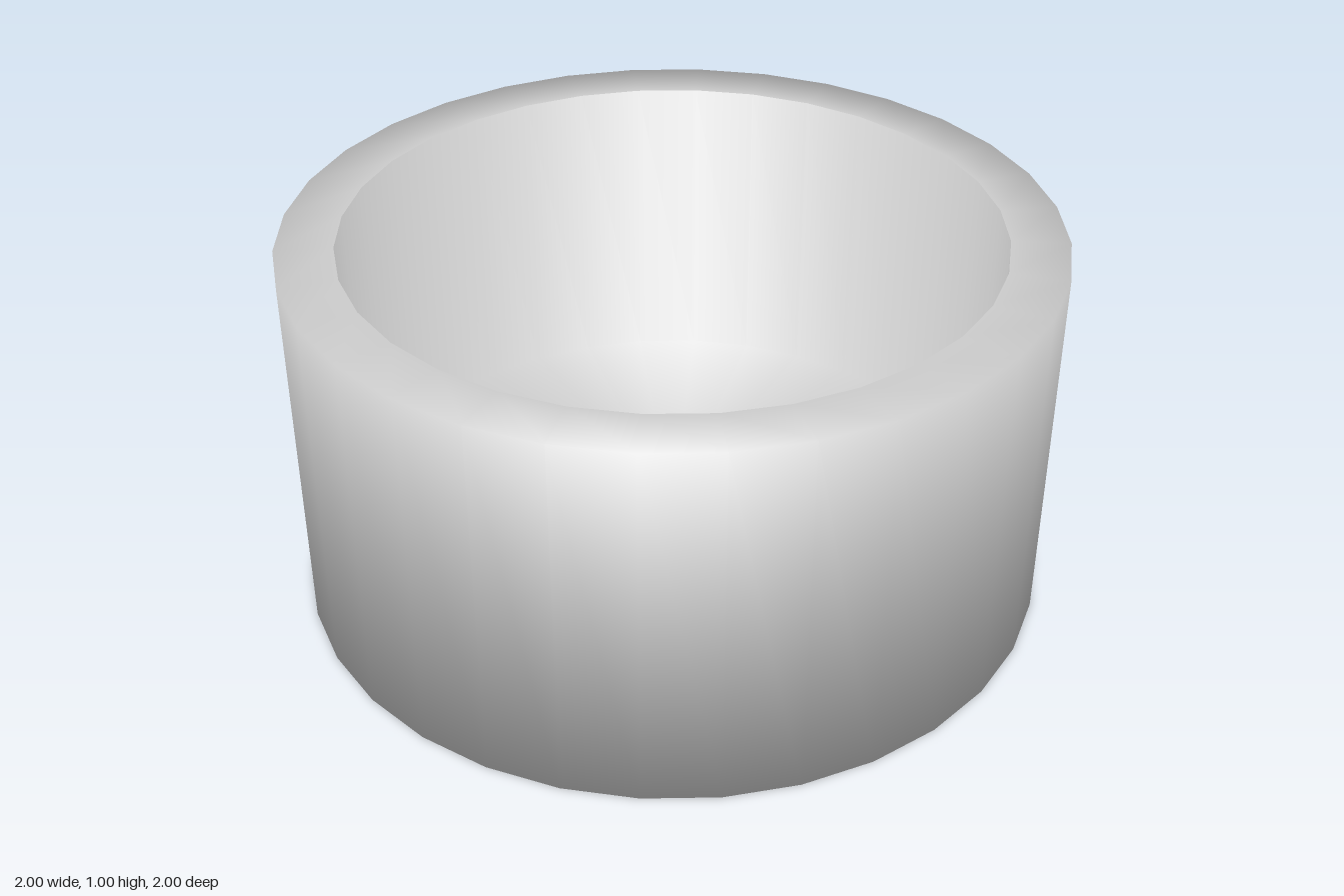
import * as THREE from 'three';

const SIDES = 32;
const OUTER = 1, INNER = 0.85, HEIGHT = 1, FLOOR = 0.15;

// Revolves a profile of [radius, y, outward normal, upward normal] with soft shading
function revolve(name, profile, material) {
  const points = profile.map(([r, y]) => new THREE.Vector2(r, y));
  const geometry = new THREE.LatheGeometry(points, SIDES);
  const normals = geometry.attributes.normal;
  for (let i = 0; i <= SIDES; i++) {
    const angle = (i / SIDES) * Math.PI * 2;
    profile.forEach(([, , out, up], j) => {
      const n = new THREE.Vector3(out * Math.sin(angle), up, out * Math.cos(angle)).normalize();
      normals.setXYZ(i * profile.length + j, n.x, n.y, n.z);
    });
  }
  const mesh = new THREE.Mesh(geometry, material);
  mesh.name = name;
  return mesh;
}

export function createModel() {
  const group = new THREE.Group();
  group.name = 'roundPot';
  const material = new THREE.MeshStandardMaterial({ color: 0xcccccc });

  // Underside, outer wall and flat rim, shaded as one soft surface
  group.add(revolve('outerShell', [
    [0, 0, 0, -1],
    [OUTER, 0, 1, -1],
    [OUTER, HEIGHT, 1, 1],
    [INNER, HEIGHT, 0, 1],
  ], material));

  // Inner wall and floor
  group.add(revolve('innerHollow', [
    [INNER, HEIGHT, -1, 1],
    [INNER, FLOOR, -1, 1],
    [0, FLOOR, 0, 1],
  ], material));

  return group;
}
